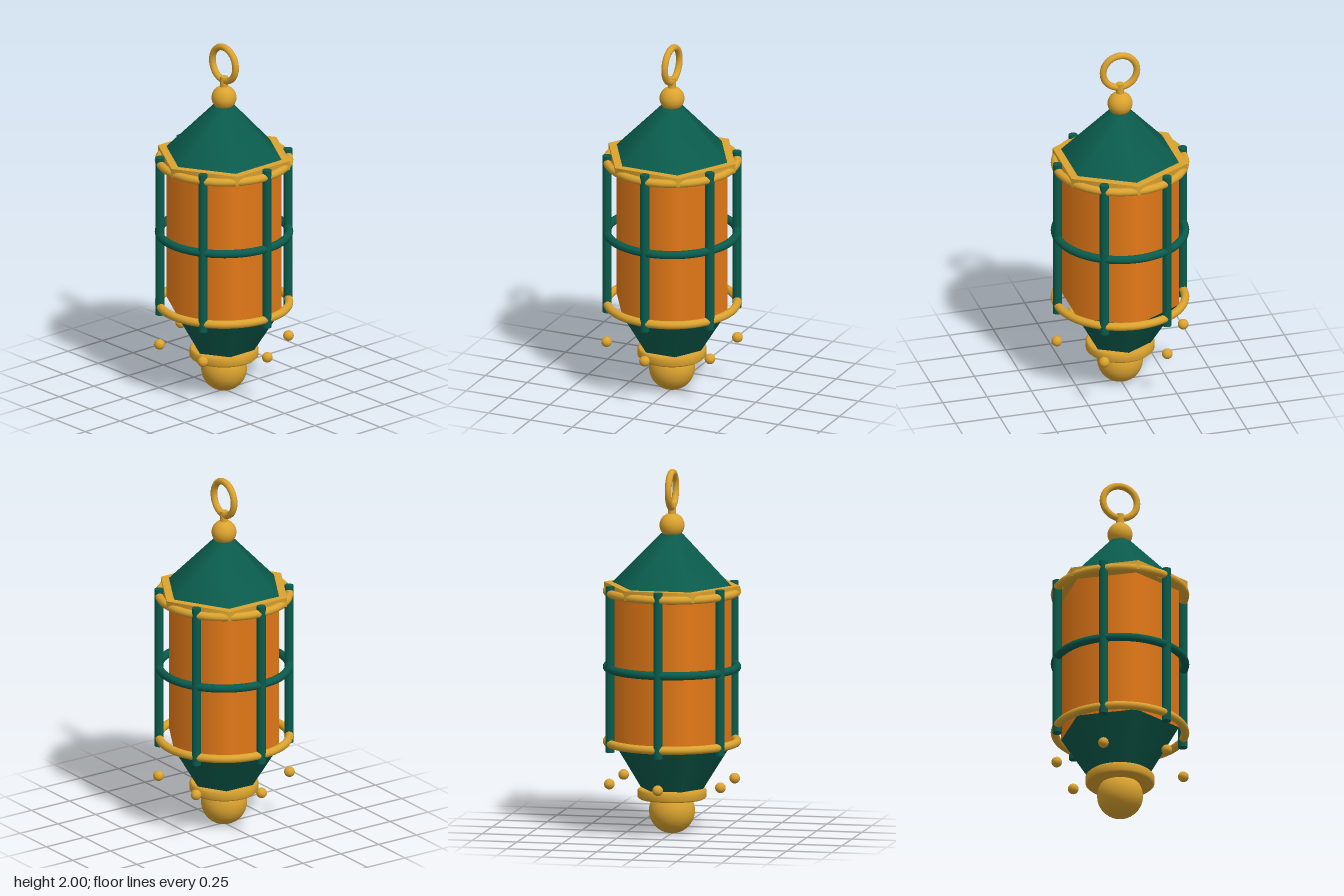
import * as THREE from 'three';

export function createModel() {
  const lantern = new THREE.Group();
  lantern.name = 'lantern';

  const mat = (name, color) => {
    const m = new THREE.MeshStandardMaterial({ color });
    m.name = name;
    return m;
  };
  const green = mat('green metal', 0x0a5b4c);
  const gold = mat('gold', 0xdba32f);
  const amber = mat('amber glass', 0xe67b18);

  const add = (name, geometry, material, x, y, z) => {
    const mesh = new THREE.Mesh(geometry, material);
    mesh.name = name;
    mesh.position.set(x, y, z);
    lantern.add(mesh);
    return mesh;
  };
  // Upright round or six-sided drum between two heights
  const drum = (name, material, rTop, rBottom, y0, y1, sides) =>
    add(name, new THREE.CylinderGeometry(rTop, rBottom, y1 - y0, sides), material, 0, (y0 + y1) / 2, 0);
  const ball = (name, r, x, y, z) =>
    add(name, new THREE.SphereGeometry(r, 32, 20), gold, x, y, z);
  const hoop = (name, material, y) => {
    const mesh = add(name, new THREE.TorusGeometry(0.3535, 0.0225, 14, 72), material, 0, y, 0);
    mesh.rotation.x = Math.PI / 2;
  };

  // Bottom finial and collar with softened rims
  ball('bottomFinial', 0.125, 0, 0.127, 0);
  const collarProfile = [[0, 0.193], [0.176, 0.193], [0.187, 0.203], [0.187, 0.24], [0.176, 0.25], [0, 0.25]]
    .map(([r, y]) => new THREE.Vector2(r, y));
  add('bottomCollar', new THREE.LatheGeometry(collarProfile, 48), gold, 0, 0, 0);

  // Six-sided body
  drum('lowerFunnel', green, 0.33, 0.17, 0.245, 0.5, 6);
  drum('glass', amber, 0.33, 0.33, 0.5, 1.35, 6);
  drum('roofTrim', gold, 0.378, 0.378, 1.318, 1.37, 6);
  drum('roof', green, 0.06, 0.33, 1.37, 1.647, 6);

  // Cage hoops
  hoop('lowerHoop', gold, 0.507);
  hoop('middleHoop', green, 0.916);
  hoop('upperHoop', gold, 1.331);

  // Cage bars, each with a bead hanging below
  for (let i = 0; i < 6; i++) {
    const a = (i * Math.PI) / 3;
    const c = Math.cos(a), s = Math.sin(a);
    add('cageBar', new THREE.CylinderGeometry(0.025, 0.025, 0.91, 16), green, 0.3535 * c, 0.916, 0.3535 * s);
    ball('bead', 0.029, 0.3565 * c, 0.287, 0.3565 * s);
  }

  // Top knob, neck and hanging ring
  ball('topKnob', 0.068, 0, 1.692, 0);
  drum('neck', gold, 0.022, 0.022, 1.74, 1.813, 20);
  add('hangingRing', new THREE.TorusGeometry(0.0955, 0.0185, 14, 48), gold, 0, 1.886, 0);

  return lantern;
}
